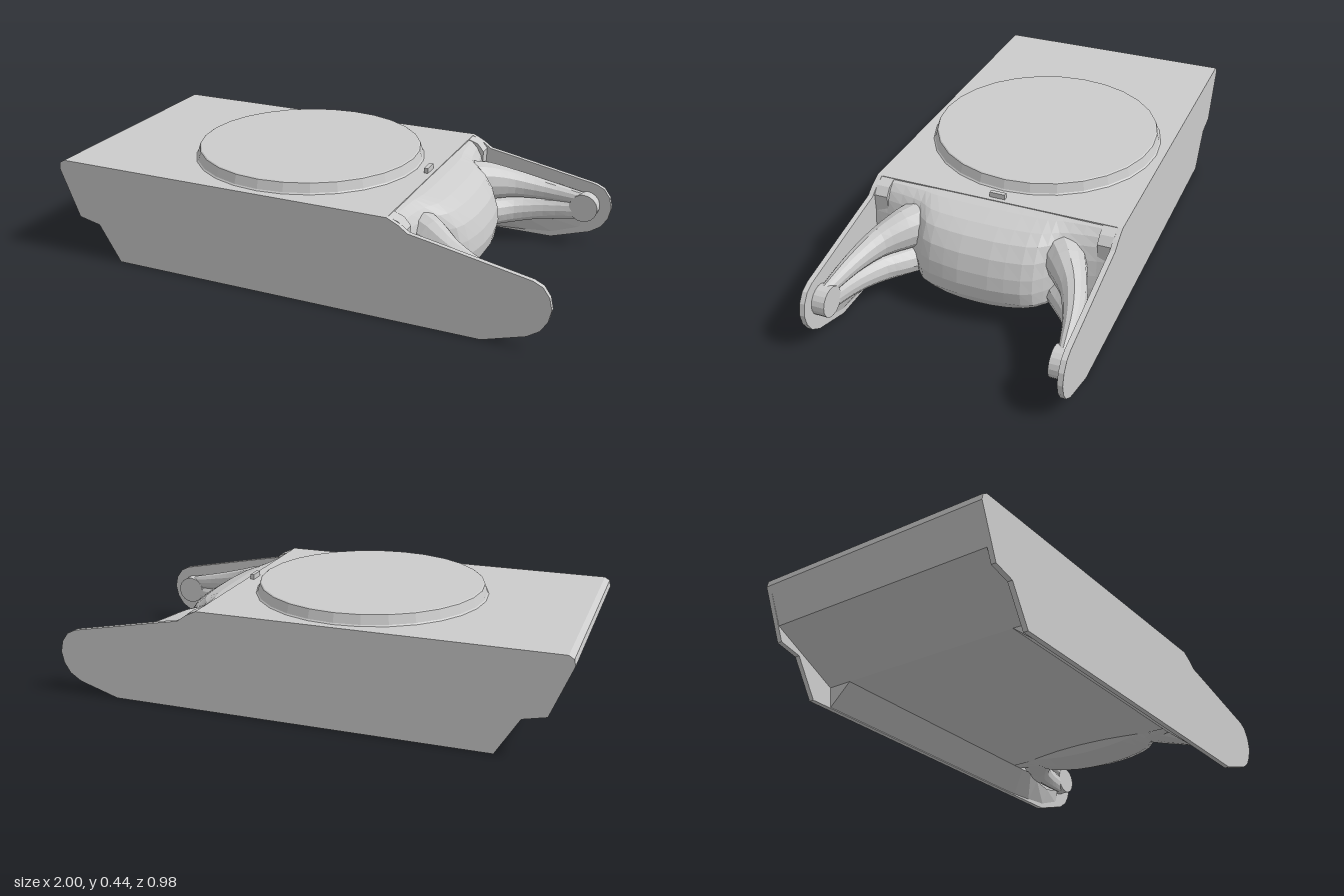
import * as THREE from 'three';

const material = new THREE.MeshStandardMaterial({ color: 0xcccccc, flatShading: true, side: THREE.DoubleSide });

function add(parent, name, geometry, x = 0, y = 0, z = 0) {
  const mesh = new THREE.Mesh(geometry, material);
  mesh.name = name;
  mesh.position.set(x, y, z);
  parent.add(mesh);
  return mesh;
}

// Side profile extruded across z, centred on its own middle
function slab(points, width) {
  const shape = new THREE.Shape(points.map(([x, y]) => new THREE.Vector2(x, y)));
  const geometry = new THREE.ExtrudeGeometry(shape, { depth: width, bevelEnabled: false });
  return geometry.translate(0, 0, -width / 2);
}

// Skin over a list of cross-sections with equal point counts
function loft(rows) {
  const n = rows[0].length;
  const index = [];
  for (let i = 0; i < rows.length - 1; i++) {
    for (let j = 0; j < n - 1; j++) {
      const a = i * n + j, b = a + n;
      index.push(a, b, a + 1, b, b + 1, a + 1);
    }
  }
  const geometry = new THREE.BufferGeometry();
  geometry.setAttribute('position', new THREE.Float32BufferAttribute(rows.flat(2), 3));
  geometry.setIndex(index);
  geometry.computeVertexNormals();
  return geometry;
}

// Elliptical arm through stations [x, y, z, halfHeight, halfWidth]
function arm(stations, side, steps = 12, sides = 12) {
  const path = new THREE.CatmullRomCurve3(stations.map(([x, y, z]) => new THREE.Vector3(x, y, z * side)));
  const rows = [];
  for (let i = 0; i <= steps; i++) {
    const t = i / steps;
    const k = Math.min(Math.floor(t * (stations.length - 1)), stations.length - 2);
    const f = t * (stations.length - 1) - k;
    const h = THREE.MathUtils.lerp(stations[k][3], stations[k + 1][3], f);
    const w = THREE.MathUtils.lerp(stations[k][4], stations[k + 1][4], f);
    const p = path.getPoint(t), d = path.getTangent(t);
    const across = new THREE.Vector3(-d.z, 0, d.x).normalize();
    const row = [];
    for (let j = 0; j <= sides; j++) {
      const a = (j / sides) * Math.PI * 2;
      const c = Math.cos(a) * w;
      row.push([p.x + across.x * c, p.y + Math.sin(a) * h, p.z + across.z * c]);
    }
    rows.push(row);
  }
  return loft(rows);
}

export function createModel() {
  const model = new THREE.Group();
  model.name = 'hull';

  // Hull between the side plates: flat floor, rising towards the tail
  add(model, 'hullBody', slab([
    [-1, 0.36], [-0.94, 0.22], [-0.9, 0.2], [-0.66, 0.08], [0.4, 0.08],
    [0.4, 0.397], [-0.975, 0.397], [-0.995, 0.385],
  ], 0.94));

  // Full-length side plates with rounded noses
  const plate = [
    [-0.74, 0], [0.76, 0], [0.92, 0.05], [0.965, 0.08], [0.99, 0.12], [1, 0.165],
    [0.99, 0.21], [0.965, 0.245], [0.93, 0.262], [0.55, 0.337], [0.48, 0.35],
    [0.445, 0.375], [0.4, 0.397], [-0.975, 0.397], [-0.995, 0.385], [-1, 0.36], [-0.92, 0.165], [-0.83, 0.145],
  ];

  // Turret ring on the deck
  const ring = [[0.46, 0.395], [0.453, 0.402], [0.442, 0.437], [0.437, 0.44], [0, 0.44]];
  add(model, 'turretRing', new THREE.LatheGeometry(ring.map(([r, y]) => new THREE.Vector2(r, y)), 28), -0.13);
  add(model, 'deckBlock', new THREE.BoxGeometry(0.016, 0.03, 0.06), 0.375, 0.402, 0);

  // Cast nose: one profile, drawn back and pinched towards the sides
  const profile = [
    [0.38, 0.397], [0.44, 0.388], [0.51, 0.364], [0.56, 0.332], [0.6, 0.28], [0.622, 0.22],
    [0.63, 0.165], [0.62, 0.11], [0.59, 0.065], [0.53, 0.042], [0.46, 0.04], [0.39, 0.055], [0.35, 0.085],
  ];
  const spans = [[0, 1, 0], [0.06, 1, 0.002], [0.12, 0.97, 0.005], [0.18, 0.92, 0.012], [0.22, 0.84, 0.018],
    [0.25, 0.7, 0.022], [0.275, 0.56, 0.03], [0.31, 0.47, 0.035], [0.36, 0.4, 0.04], [0.42, 0.34, 0.04], [0.472, 0.31, 0.03]];
  const stations = [...spans.slice(1).reverse().map(([z, s, l]) => [-z, s, l]), ...spans];
  add(model, 'castNose', loft(stations.map(([z, s, lift]) => profile.map(([x, y]) =>
    [0.4 + (x - 0.4) * (x > 0.4 ? s : 1), y + (y < 0.1 ? lift : 0), z]))));

  for (const side of [1, -1]) {
    const wing = new THREE.Group();
    wing.name = side > 0 ? 'leftWing' : 'rightWing';
    model.add(wing);
    add(wing, 'sidePlate', slab(plate, 0.02), 0, 0, side * 0.48);
    // Shoulder where the deck meets the plate
    add(wing, 'shoulder', slab([[0.38, 0.2], [0.46, 0.2], [0.465, 0.35], [0.44, 0.38], [0.4, 0.395], [0.38, 0.395]], 0.055),
      0, 0, side * 0.445);
    // Sloped web from the floor down to the plate, thinning forward to the housing
    const web = [[-0.66, 0.1, 0.08, 0.08], [-0.65, 0.1, 0.002, 0.08], [0.46, 0.1, 0.002, 0.08], [0.54, 0.09, 0.004, 0.09],
      [0.65, 0.05, 0.01, 0.09], [0.77, 0.025, 0.02, 0.09], [0.88, 0.012, 0.06, 0.12]];
    add(wing, 'lowerWeb', loft(web.map(([x, depth, low, high]) => [
      [x, low, side * 0.472], [x, high, side * (0.472 - depth)], [x, high, side * 0.472],
    ])));
    // Two stacked arms sweeping out to the drive housing
    add(wing, 'upperArm', arm([
      [0.43, 0.27, 0.27, 0.088, 0.09], [0.52, 0.263, 0.33, 0.08, 0.07], [0.61, 0.247, 0.385, 0.06, 0.05],
      [0.73, 0.225, 0.425, 0.043, 0.036], [0.89, 0.2, 0.45, 0.027, 0.02],
    ], side));
    add(wing, 'lowerArm', arm([
      [0.43, 0.13, 0.27, 0.06, 0.09], [0.52, 0.13, 0.33, 0.06, 0.07], [0.61, 0.133, 0.385, 0.057, 0.05],
      [0.73, 0.142, 0.425, 0.048, 0.036], [0.89, 0.15, 0.45, 0.04, 0.02],
    ], side));
    // Drive housing on the inside of the plate
    add(wing, 'driveHousing', new THREE.CylinderGeometry(0.058, 0.058, 0.052, 18).rotateX(Math.PI / 2), 0.895, 0.168, side * 0.446);
  }
  return model;
}
